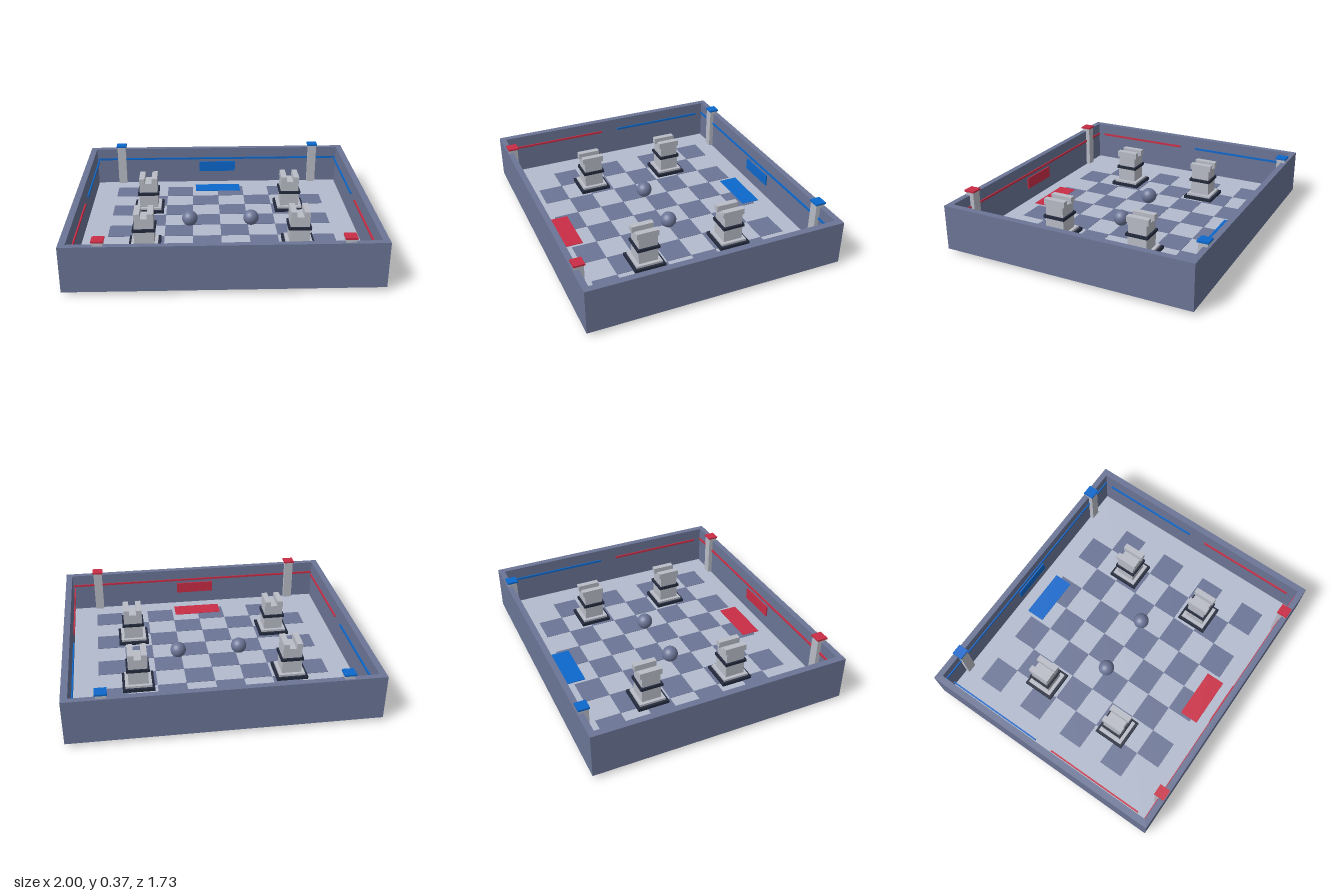
import * as THREE from 'three';
import { RoundedBoxGeometry } from 'three/addons/geometries/RoundedBoxGeometry.js';

const material = (name, color) => {
  const m = new THREE.MeshStandardMaterial({ color });
  m.name = name;
  return m;
};

export function createModel() {
  const slate = material('slate', 0x6b7596);
  const pale = material('pale floor', 0xb3bbcd);
  const grey = material('light grey', 0xb9bcc6);
  const navy = material('navy', 0x232a3c);
  const blue = material('blue', 0x0c68cc);
  const red = material('red', 0xc92d45);

  const arena = new THREE.Group();
  arena.name = 'arena';

  // Box given by its size, centre and bottom height
  const box = (parent, name, mat, [w, h, d], x, bottom, z) => {
    const mesh = new THREE.Mesh(new THREE.BoxGeometry(w, h, d), mat);
    mesh.name = name;
    mesh.position.set(x, bottom + h / 2, z);
    parent.add(mesh);
    return mesh;
  };

  // Floor slab with softened edges
  const floorTop = 0.05;
  const floor = new THREE.Mesh(new RoundedBoxGeometry(1.91, floorTop, 1.65, 2, 0.008), pale);
  floor.name = 'floor';
  floor.position.y = floorTop / 2;
  arena.add(floor);

  // Surrounding wall: one frame with a rectangular hole
  const rect = (Type, x, z) => new Type([
    new THREE.Vector2(-x, -z), new THREE.Vector2(x, -z),
    new THREE.Vector2(x, z), new THREE.Vector2(-x, z),
  ]);
  const frame = rect(THREE.Shape, 1, 0.867);
  frame.holes.push(rect(THREE.Path, 0.956, 0.827));
  const wallGeometry = new THREE.ExtrudeGeometry(frame, { depth: 0.305, bevelEnabled: false });
  wallGeometry.rotateX(-Math.PI / 2);
  const wall = new THREE.Mesh(wallGeometry, slate);
  wall.name = 'wall';
  wall.position.y = 0.025;
  arena.add(wall);

  // Chequered tiles
  const tileW = 1.57 / 8, tileD = 1.39 / 8;
  for (let row = 0; row < 8; row++) {
    for (let col = row % 2; col < 8; col += 2) {
      box(arena, 'floorTile', slate, [tileW, 0.002, tileD],
        (col - 3.5) * tileW, floorTop, (row - 3.5) * tileD);
    }
  }

  // Each team's end: goal mat, wall stripes, goal plaque and corner posts
  for (const [side, colour] of [[-1, blue], [1, red]]) {
    const end = new THREE.Group();
    end.name = side < 0 ? 'blueEnd' : 'redEnd';
    arena.add(end);
    box(end, 'goalMat', colour, [0.35, 0.004, 0.13], 0, floorTop, side * 0.675);
    box(end, 'endStripe', colour, [1.9, 0.014, 0.008], 0, 0.24, side * 0.823);
    box(end, 'goalPlaque', colour, [0.285, 0.08, 0.009], 0, 0.14, side * 0.8175);
    for (const x of [-1, 1]) {
      box(end, 'sideStripe', colour, [0.009, 0.014, 0.7], x * 0.937, 0.245, side * 0.415);
      box(end, 'post', grey, [0.064, 0.303, 0.06], x * 0.76, floorTop, side * 0.826);
      box(end, 'postCap', colour, [0.076, 0.012, 0.074], x * 0.76, 0.353, side * 0.826);
    }
  }

  // Four towers with a dark base, a dark band and two rails on top
  for (const x of [-0.52, 0.52]) {
    for (const z of [-0.305, 0.305]) {
      const tower = new THREE.Group();
      tower.name = 'tower';
      tower.position.set(x, floorTop, z);
      arena.add(tower);
      box(tower, 'towerBase', navy, [0.215, 0.022, 0.215], 0, 0, 0);
      box(tower, 'towerPlinth', grey, [0.18, 0.015, 0.18], 0, 0.022, 0);
      box(tower, 'towerBody', grey, [0.135, 0.095, 0.135], 0, 0.037, 0);
      box(tower, 'towerBand', navy, [0.155, 0.02, 0.155], 0, 0.132, 0);
      box(tower, 'towerHead', grey, [0.13, 0.07, 0.13], 0, 0.152, 0);
      for (const s of [-1, 1]) {
        box(tower, 'towerRail', grey, [0.04, 0.042, 0.155], s * 0.045, 0.222, 0);
      }
    }
  }

  // Two balls on the centre line
  for (const x of [-0.218, 0.218]) {
    const ball = new THREE.Mesh(new THREE.SphereGeometry(0.055, 32, 20), slate);
    ball.name = 'ball';
    ball.position.set(x, floorTop + 0.055, 0);
    arena.add(ball);
  }

  return arena;
}
